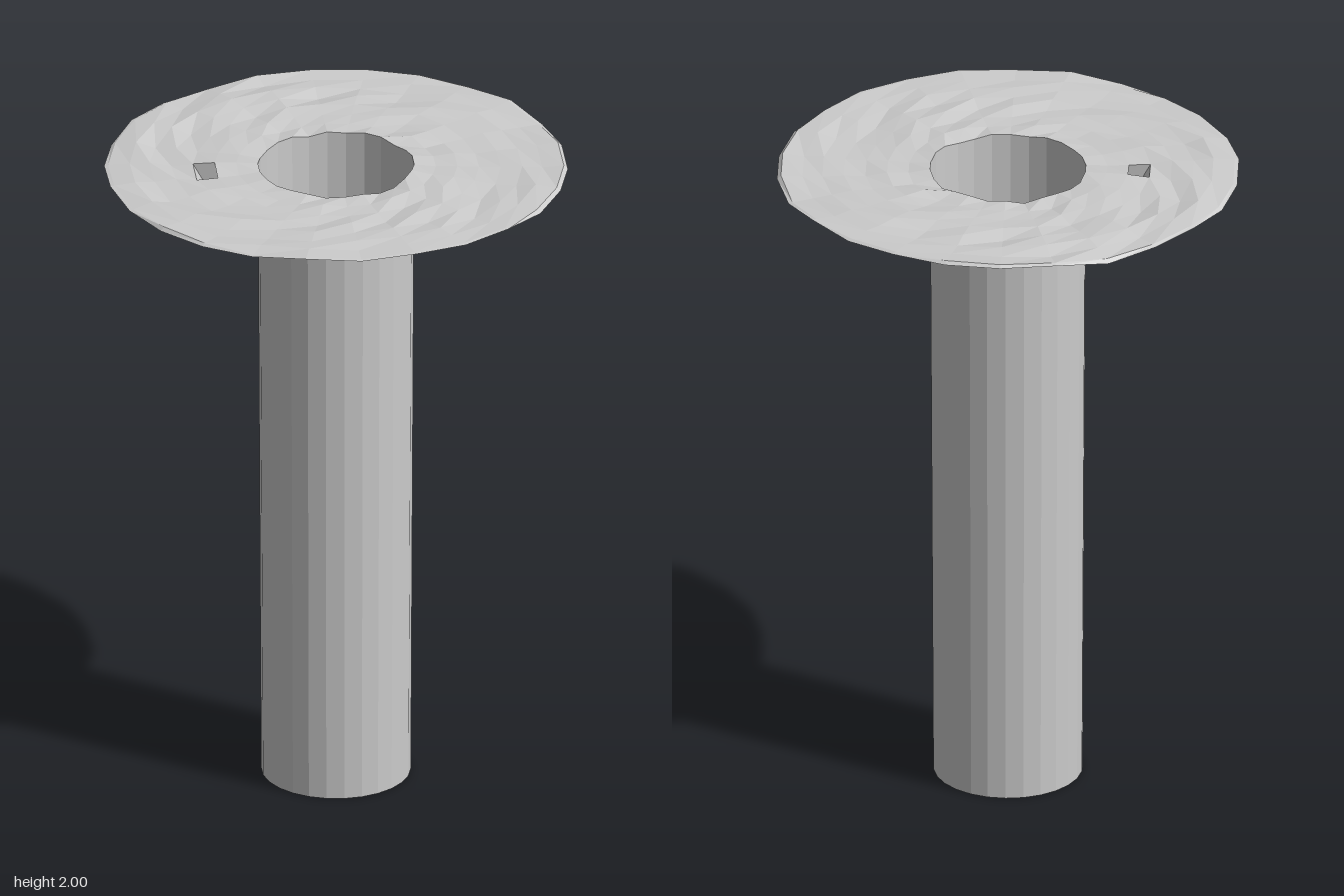
import * as THREE from 'three';

const SIDES = 26;
const material = new THREE.MeshStandardMaterial({ color: 0xcccccc, flatShading: true, side: THREE.DoubleSide });

// Builds a mesh from a list of quads, each given as four Vector3 corners
function quadMesh(name, quads) {
  const pos = [];
  for (const [a, b, c, d] of quads) for (const p of [a, b, c, a, c, d]) pos.push(p.x, p.y, p.z);
  const geometry = new THREE.BufferGeometry();
  geometry.setAttribute('position', new THREE.Float32BufferAttribute(pos, 3));
  geometry.computeVertexNormals();
  const mesh = new THREE.Mesh(geometry, material);
  mesh.name = name;
  return mesh;
}

// Ring of points around the y axis; height depends on the index
function ring(radius, height) {
  return Array.from({ length: SIDES }, (_, i) => {
    const a = (i / SIDES) * Math.PI * 2;
    return new THREE.Vector3(radius * Math.cos(a), height(i), radius * Math.sin(a));
  });
}

// Quads between successive rings, leaving out any cell that skip() accepts
function loft(rings, skip = () => false) {
  const quads = [];
  for (let r = 0; r < rings.length - 1; r++) {
    for (let i = 0; i < SIDES; i++) {
      const j = (i + 1) % SIDES;
      if (!skip(r, i)) quads.push([rings[r][i], rings[r][j], rings[r + 1][j], rings[r + 1][i]]);
    }
  }
  return quads;
}

export function createModel() {
  const group = new THREE.Group();
  let seed = 7;
  const random = () => (seed = (seed * 16807) % 2147483647) / 2147483647;

  // Uneven ground disc with a narrow turned-down rim
  const radii = [0.235, 0.30, 0.365, 0.43, 0.495, 0.56, 0.62, 0.685];
  const rings = radii.map((r) => ring(r, () => 1.982 + 0.016 * random()));
  rings[0][0].y = 2;
  rings.push(ring(0.697, (i) => rings[7][i].y - 0.012 * random()));
  const pocketRing = 2, pocketCell = 11;
  group.add(quadMesh('groundDisc', loft(rings, (r, i) => r === pocketRing && i === pocketCell)));

  // Open shaft, slightly narrower at the foot, meeting the disc's inner edge
  const shaftRings = [0, 0.5, 1, 1.5].map((y) => ring(0.225 + 0.005 * y, () => y));
  group.add(quadMesh('shaft', loft([...shaftRings, rings[0]].reverse())));

  // Small slanted pocket sunk through one cell of the disc
  const top = [
    rings[pocketRing][pocketCell], rings[pocketRing][pocketCell + 1],
    rings[pocketRing + 1][pocketCell + 1], rings[pocketRing + 1][pocketCell],
  ];
  const shift = new THREE.Vector3(0.054, -0.105, -0.02);
  const bottom = top.map((p) => p.clone().add(shift));
  const walls = top.map((p, i) => [p, top[(i + 1) % 4], bottom[(i + 1) % 4], bottom[i]]);
  group.add(quadMesh('slantedPocket', [...walls, bottom]));

  return group;
}
